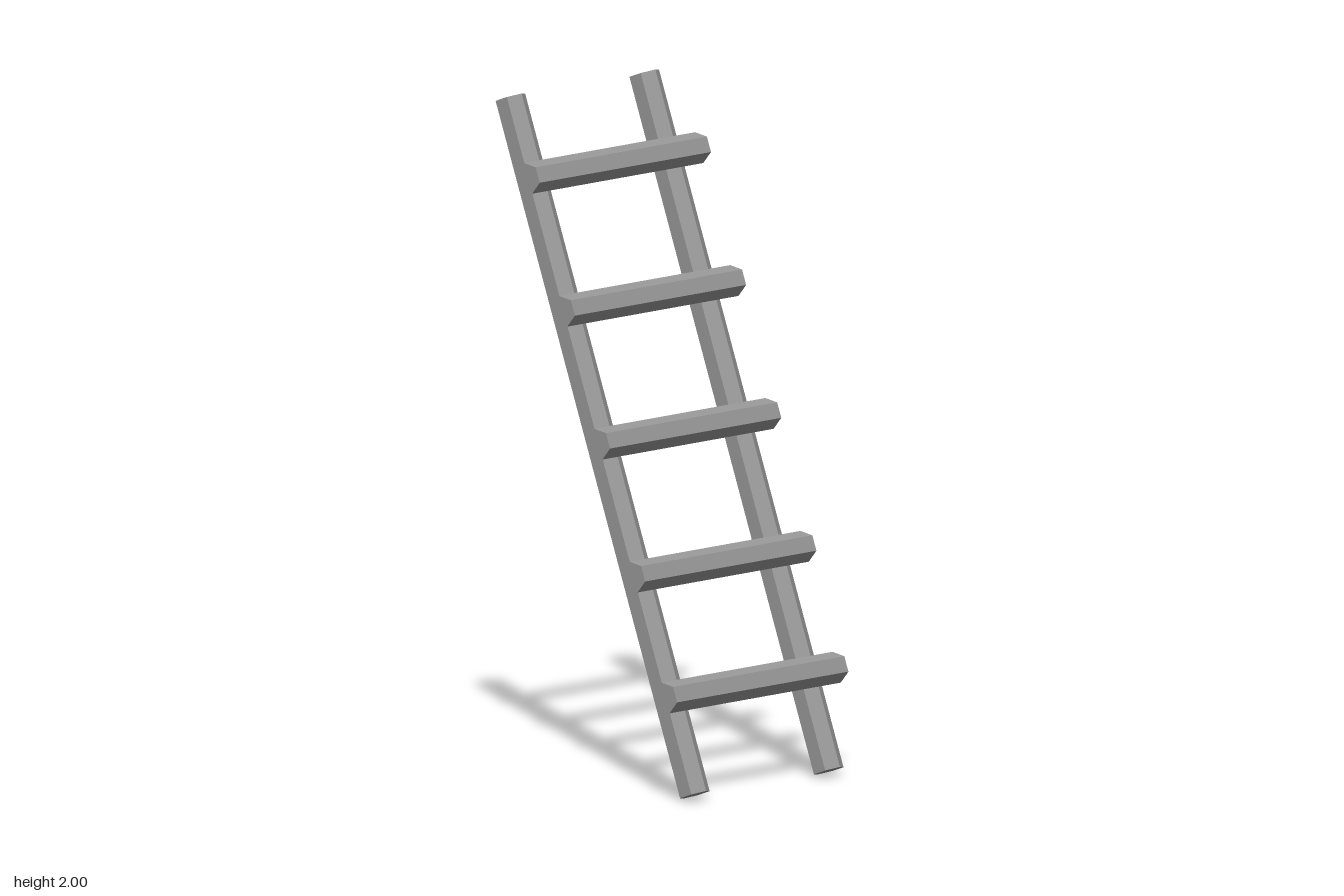
import * as THREE from 'three';

const RADIUS = 0.0463;
const TILT = THREE.MathUtils.degToRad(19.95);

export function createModel() {
  const material = new THREE.MeshStandardMaterial({ color: 0x999898, flatShading: true });
  const model = new THREE.Group();
  model.name = 'leaningLadder';

  // Everything is built upright, then the whole ladder leans towards -x
  const ladder = new THREE.Group();
  ladder.name = 'ladder';
  ladder.position.set(0, 1, 0);
  ladder.rotation.z = TILT;
  model.add(ladder);

  const addPole = (name, geometry, x, y, z) => {
    const mesh = new THREE.Mesh(geometry, material);
    mesh.name = name;
    mesh.position.set(x, y, z);
    ladder.add(mesh);
  };

  // Two hexagonal side rails, with a corner facing the rungs
  const railGeometry = new THREE.CylinderGeometry(RADIUS, RADIUS, 2.094, 6).rotateY(Math.PI / 6);
  addPole('frontRail', railGeometry, 0, 0, 0.291);
  addPole('backRail', railGeometry, 0, 0, -0.292);

  // Five hexagonal rungs lying across the rails
  const rungGeometry = new THREE.CylinderGeometry(RADIUS, RADIUS, 0.746, 6).rotateX(Math.PI / 2);
  [-0.761, -0.398, 0.001, 0.4, 0.799].forEach((y, i) => {
    addPole(`rung${i + 1}`, rungGeometry, 0.06, y, 0);
  });

  return model;
}
